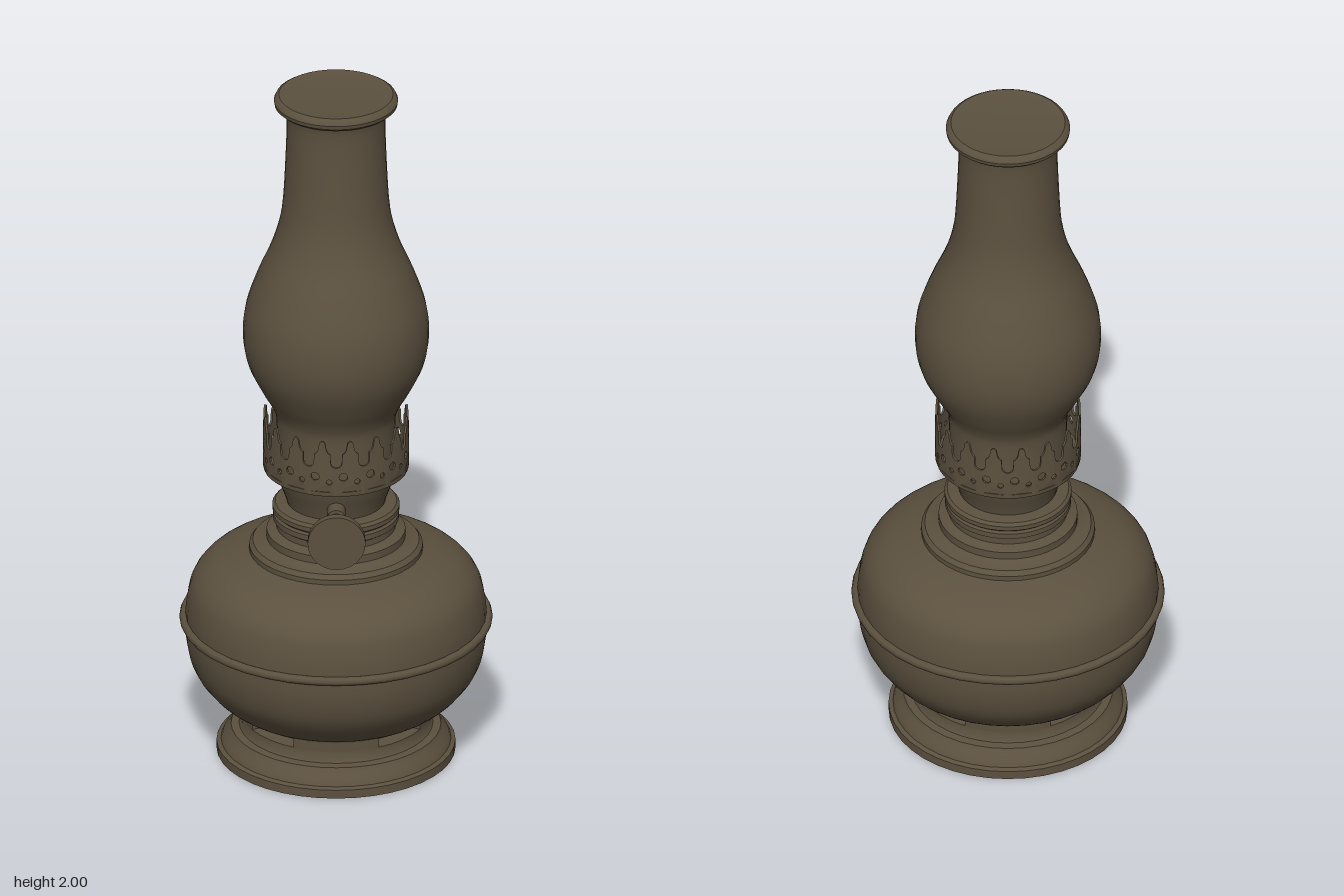
import * as THREE from 'three';
import { toCreasedNormals } from 'three/addons/utils/BufferGeometryUtils.js';

const SEGMENTS = 40;

export function createModel() {
  const lamp = new THREE.Group();
  lamp.name = 'oilLamp';
  const bronze = new THREE.MeshStandardMaterial({ color: 0x5c513f, side: THREE.DoubleSide });
  bronze.name = 'agedBronze';

  const add = (name, geometry, parent = lamp) => {
    const mesh = new THREE.Mesh(geometry, bronze);
    mesh.name = name;
    parent.add(mesh);
    return mesh;
  };
  const vectors = (points) => points.map(([r, y]) => new THREE.Vector2(r, y));
  // Turned part with crisp edges; profile runs from bottom to top
  const turned = (name, points) =>
    add(name, toCreasedNormals(new THREE.LatheGeometry(vectors(points), SEGMENTS), 0.6));
  // Turned part whose profile is a smooth curve
  const blown = (name, points, steps) =>
    add(name, new THREE.LatheGeometry(new THREE.SplineCurve(vectors(points)).getPoints(steps), SEGMENTS));

  // Foot: stepped plinth, closed above and below
  turned('foot', [
    [0, 0], [0.33, 0], [0.33, 0.025], [0.318, 0.03], [0.312, 0.045], [0.298, 0.06],
    [0.29, 0.075], [0.268, 0.078], [0.262, 0.088], [0.26, 0.11], [0, 0.11],
  ]);

  // Four pillars leave diagonal air slots between foot and bowl
  const half = THREE.MathUtils.degToRad(27);
  const pillarShape = new THREE.Shape();
  pillarShape.absarc(0, 0, 0.26, -half, half, false);
  pillarShape.absarc(0, 0, 0.235, half, -half, true);
  pillarShape.closePath();
  const pillars = new THREE.Group();
  pillars.name = 'footPillars';
  lamp.add(pillars);
  for (let i = 0; i < 4; i++) {
    const g = new THREE.ExtrudeGeometry(pillarShape, { depth: 0.03, bevelEnabled: false, curveSegments: 10 });
    g.rotateX(-Math.PI / 2).rotateY((i * Math.PI) / 2).translate(0, 0.108, 0);
    add('footPillar', toCreasedNormals(g, 0.6), pillars);
  }
  turned('bowlSeat', [[0, 0.136], [0.26, 0.136], [0.265, 0.146], [0.28, 0.152]]);

  // Oil bowl with a seam bead around its widest line
  blown('oilBowl', [
    [0.265, 0.143], [0.305, 0.162], [0.35, 0.2], [0.393, 0.26], [0.413, 0.33], [0.416, 0.4],
    [0.412, 0.46], [0.395, 0.52], [0.355, 0.565], [0.3, 0.592], [0.235, 0.612],
  ], 36);
  const bead = new THREE.TorusGeometry(0.42, 0.013, 8, SEGMENTS);
  bead.rotateX(Math.PI / 2).translate(0, 0.402, 0);
  add('bowlSeam', bead);

  // Stepped shoulder and screw collar
  turned('shoulderCollar', [
    [0.24, 0.605], [0.24, 0.625], [0.23, 0.638], [0.2, 0.644], [0.192, 0.65], [0.192, 0.672],
    [0.178, 0.677], [0.165, 0.682], [0.165, 0.7], [0.174, 0.706], [0.174, 0.722], [0.168, 0.728],
    [0.176, 0.735], [0.176, 0.748], [0.168, 0.756], [0.14, 0.76], [0, 0.76],
  ]);

  // Burner cup flaring up to the gallery floor
  turned('burnerCup', [
    [0.135, 0.755], [0.14, 0.775], [0.153, 0.81], [0.165, 0.84], [0.17, 0.862], [0.2, 0.862],
    [0.202, 0.87], [0.202, 0.876], [0.16, 0.876],
  ]);

  // Pierced gallery: flat toothed tiles bent around the chimney
  const TEETH = 16, R = 0.196, tile = (2 * Math.PI * R) / TEETH, w = tile / 2;
  const toothShape = new THREE.Shape();
  toothShape.moveTo(-w, 0.865);
  toothShape.lineTo(w, 0.865);
  toothShape.lineTo(w, 0.95);
  toothShape.quadraticCurveTo(w * 0.6, 0.95, w * 0.6, 0.97);
  toothShape.lineTo(w * 0.58, 0.99);
  toothShape.quadraticCurveTo(w * 0.28, 0.996, w * 0.25, 1.015);
  toothShape.quadraticCurveTo(w * 0.2, 1.03, 0, 1.03);
  toothShape.quadraticCurveTo(-w * 0.2, 1.03, -w * 0.25, 1.015);
  toothShape.quadraticCurveTo(-w * 0.28, 0.996, -w * 0.58, 0.99);
  toothShape.lineTo(-w * 0.6, 0.97);
  toothShape.quadraticCurveTo(-w * 0.6, 0.95, -w, 0.95);
  toothShape.closePath();
  for (const [x, y, r] of [[-w / 2, 0.922, 0.012], [w / 2, 0.906, 0.008]]) {
    const hole = new THREE.Path();
    hole.absarc(x, y, r, 0, Math.PI * 2, true);
    toothShape.holes.push(hole);
  }
  const gallery = new THREE.Group();
  gallery.name = 'gallery';
  lamp.add(gallery);
  for (let i = 0; i < TEETH; i++) {
    const g = new THREE.ExtrudeGeometry(toothShape, { depth: 0.006, bevelEnabled: false, curveSegments: 5 });
    const p = g.attributes.position;
    for (let k = 0; k < p.count; k++) {
      const a = p.getX(k) / R + ((i + 0.5) * 2 * Math.PI) / TEETH;
      const r = R + p.getZ(k);
      p.setXYZ(k, Math.sin(a) * r, p.getY(k), Math.cos(a) * r);
    }
    add('galleryTooth', toCreasedNormals(g, 0.6), gallery);
  }

  // Chimney with rolled lip and closed top
  blown('chimney', [
    [0.165, 0.87], [0.164, 1.0], [0.175, 1.05], [0.206, 1.105], [0.242, 1.18], [0.257, 1.26],
    [0.25, 1.35], [0.217, 1.45], [0.175, 1.55], [0.15, 1.65], [0.14, 1.8], [0.137, 1.93], [0.147, 1.97],
  ], 48);
  turned('chimneyLip', [
    [0.142, 1.957], [0.16, 1.963], [0.17, 1.972], [0.172, 1.983], [0.167, 1.994], [0.158, 2],
    [0.145, 1.998], [0, 1.998],
  ]);

  // Wick adjuster: spindle and round knob on the front
  const wick = new THREE.Group();
  wick.name = 'wickAdjuster';
  wick.position.y = 0.798;
  lamp.add(wick);
  const spindlePart = (name, r0, r1, z0, z1, sides) => {
    const g = new THREE.CylinderGeometry(r1, r0, z1 - z0, sides);
    add(name, g.rotateX(Math.PI / 2).translate(0, 0, (z0 + z1) / 2), wick);
  };
  spindlePart('spindleSocket', 0.025, 0.025, 0.12, 0.205, 16);
  spindlePart('spindle', 0.015, 0.015, 0.2, 0.335, 16);
  spindlePart('knobHub', 0.016, 0.027, 0.325, 0.346, 16);
  spindlePart('knob', 0.08, 0.08, 0.344, 0.367, 28);

  return lamp;
}
